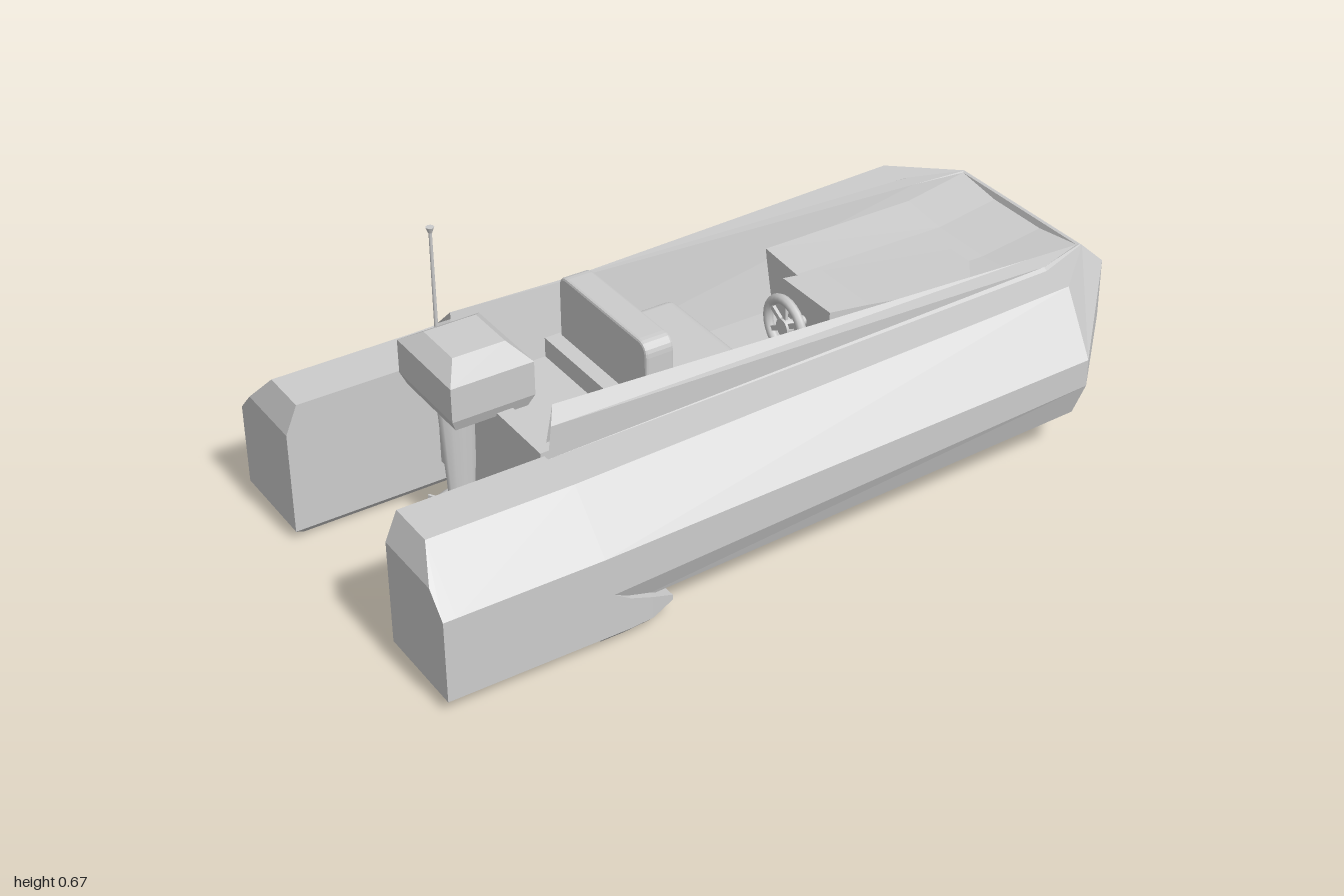
import * as THREE from 'three';
import { RoundedBoxGeometry } from 'three/addons/geometries/RoundedBoxGeometry.js';

const flat = new THREE.MeshStandardMaterial({ color: 0xcccccc, flatShading: true, side: THREE.DoubleSide });
const smooth = new THREE.MeshStandardMaterial({ color: 0xcccccc });

// Skin between equally long rows of [x, y, z] points
function loft(rows, closed = false, caps = false) {
  const pos = [], n = rows[0].length;
  const tri = (a, b, c) => pos.push(...a, ...b, ...c);
  for (let i = 0; i < rows.length - 1; i++) {
    for (let j = 0; j < (closed ? n : n - 1); j++) {
      const k = (j + 1) % n;
      tri(rows[i][j], rows[i + 1][j], rows[i + 1][k]);
      tri(rows[i][j], rows[i + 1][k], rows[i][k]);
    }
  }
  if (caps) {
    const last = rows[rows.length - 1];
    for (let j = 1; j < n - 1; j++) {
      tri(rows[0][0], rows[0][j], rows[0][j + 1]);
      tri(last[0], last[j + 1], last[j]);
    }
  }
  const g = new THREE.BufferGeometry();
  g.setAttribute('position', new THREE.Float32BufferAttribute(pos, 3));
  g.computeVertexNormals();
  return g;
}

const mirror = row => row.map(([x, y, z]) => [x, y, -z]);

export function createModel() {
  const group = new THREE.Group();
  const boat = new THREE.Group();
  boat.name = 'boat';
  // The boat lies at a slight yaw
  boat.rotation.y = -0.0826;
  boat.position.z = 0.008;
  group.add(boat);

  const add = (name, geo, x = 0, y = 0, z = 0, mat = flat) => {
    const m = new THREE.Mesh(geo, mat);
    m.name = name;
    m.position.set(x, y, z);
    boat.add(m);
    return m;
  };
  const box = (name, x0, x1, y0, y1, z0, z1) =>
    add(name, new THREE.BoxGeometry(x1 - x0, y1 - y0, z1 - z0), (x0 + x1) / 2, (y0 + y1) / 2, (z0 + z1) / 2);

  // Hull: each row runs from the keel, round the chamfered side, over the coaming and down to the floor
  const stern = [
    [-0.58, 0.07, 0], [-0.58, 0.07, 0.45], [-0.58, 0.135, 0.477], [-0.58, 0.235, 0.477], [-0.58, 0.36, 0.36],
    [-0.58, 0.36, 0.25], [-0.57, 0.44, 0.25], [-0.55, 0.475, 0.224], [-0.57, 0.22, 0.18], [-0.57, 0.22, 0],
  ];
  const shoulder = [
    [0.72, 0.117, 0], [0.72, 0.117, 0.45], [0.733, 0.2, 0.477], [0.733, 0.27, 0.477], [0.762, 0.4, 0.358],
    [0.765, 0.4, 0.275], [0.765, 0.406, 0.265], [0.75, 0.41, 0.222], [0.72, 0.22, 0.18], [0.72, 0.22, 0],
  ];
  const bow = [
    [0.93, 0.14, 0], [0.93, 0.14, 0.21], [0.985, 0.18, 0.226], [0.985, 0.335, 0.226], [0.915, 0.4, 0.226],
    [0.912, 0.4, 0.224], [0.91, 0.402, 0.222], [0.905, 0.4, 0.218], [0.86, 0.22, 0.15], [0.86, 0.22, 0],
  ];
  add('hull', loft([stern, shoulder, bow, mirror(bow), mirror(shoulder), mirror(stern)]));
  box('transom', -0.59, -0.55, 0.08, 0.37, -0.235, 0.235);
  box('rearDeck', -0.56, -0.32, 0.22, 0.3, -0.19, 0.19);

  // Rear pontoons with deep feet reaching forward under the hull
  const pontoon = (x, lowY, topY, topZ) => [
    [x, lowY, 0.44], [x, Math.max(lowY, 0.03), 0.477], [x, 0.235, 0.477],
    [x, topY, topZ], [x, topY, 0.235], [x, 0.03, 0.235], [x, lowY, 0.265],
  ];
  const foot = (x, y0, y1, y2, z0, z1) => [
    [x, y0, z1 - 0.03], [x, y1, z1], [x, y2, z1], [x, y2, z0], [x, y1, z0], [x, y0, z0 + 0.03],
  ];
  const pontoonRows = [pontoon(-0.964, 0.03, 0.29, 0.425), pontoon(-0.934, 0, 0.36, 0.36), pontoon(-0.58, 0, 0.36, 0.36)];
  const footRows = [
    foot(-0.58, 0, 0.03, 0.15, 0.235, 0.477), foot(-0.52, 0, 0.03, 0.11, 0.235, 0.477),
    foot(-0.46, 0, 0.03, 0.085, 0.245, 0.472), foot(-0.4, 0.035, 0.042, 0.055, 0.3, 0.455),
  ];
  for (const [side, flip] of [['left', r => r], ['right', mirror]]) {
    add(side + 'Pontoon', loft(pontoonRows.map(flip), true, true));
    add(side + 'Foot', loft(footRows.map(flip), true, true));
  }

  // Dished foredeck with its rear bulkhead
  const deckRow = (x, y, dip, w) => [-1, -0.4, 0.4, 1].map(t => [x, y - (Math.abs(t) < 1 ? dip : 0), t * w]);
  add('foredeck', loft([
    deckRow(0.3, 0.22, 0, 0.2), deckRow(0.3, 0.375, 0.01, 0.212), deckRow(0.73, 0.375, 0.015, 0.212), deckRow(0.905, 0.4, 0.015, 0.218),
  ]));

  // Wedge-shaped helm console
  const consoleRow = (x, y) => [[x, 0.22, 0.015], [x, y, 0.015], [x, y, 0.2], [x, 0.22, 0.2]];
  add('console', loft([consoleRow(0.19, 0.44), consoleRow(0.3, 0.425), consoleRow(0.72, 0.355)], true, true));

  // Steering wheel with hub, spokes and column
  const wheel = new THREE.Group();
  wheel.name = 'steeringWheel';
  wheel.position.set(0.138, 0.37, 0.1);
  wheel.rotation.set(0, Math.PI / 2, 0);
  const part = (geo, rx = 0, rz = 0, z = 0) => {
    const m = new THREE.Mesh(geo, smooth);
    m.rotation.set(rx, 0, rz);
    m.position.z = z;
    wheel.add(m);
  };
  part(new THREE.TorusGeometry(0.068, 0.012, 8, 28));
  part(new THREE.CylinderGeometry(0.022, 0.022, 0.02, 16), Math.PI / 2);
  part(new THREE.CylinderGeometry(0.012, 0.012, 0.08, 12), Math.PI / 2, 0, 0.04);
  for (let i = 0; i < 3; i++) part(new THREE.BoxGeometry(0.012, 0.13, 0.008), 0, i * Math.PI / 3);
  boat.add(wheel);

  // Bench seat
  box('benchBase', -0.33, -0.01, 0.22, 0.3, -0.19, 0.19);
  add('seatCushion', new RoundedBoxGeometry(0.25, 0.07, 0.37, 3, 0.025), -0.11, 0.315, 0, smooth);
  box('benchLedge', -0.33, -0.28, 0.3, 0.35, -0.19, 0.19);
  const w = 0.185, h = 0.23, r = 0.035;
  const back = new THREE.Shape();
  back.moveTo(-w, 0).lineTo(w, 0).lineTo(w, h - r).quadraticCurveTo(w, h, w - r, h)
    .lineTo(r - w, h).quadraticCurveTo(-w, h, -w, h - r);
  const backGeo = new THREE.ExtrudeGeometry(back, {
    depth: 0.06, bevelSize: 0.006, bevelThickness: 0.006, bevelOffset: -0.006, bevelSegments: 2, curveSegments: 6,
  }).rotateY(Math.PI / 2);
  add('backrest', backGeo, -0.285, 0.28, 0, smooth);

  // Outboard motor: chamfered cowl, leg, gearcase and propeller
  const cowlRow = (y, a, b) => [[-a, y, -b], [-a, y, b], [a, y, b], [a, y, -b]];
  add('motorCowl', loft([cowlRow(0.36, 0.09, 0.11), cowlRow(0.39, 0.103, 0.122), cowlRow(0.475, 0.103, 0.122), cowlRow(0.512, 0.065, 0.065)], true, true), -0.6, 0, -0.065);
  add('motorLeg', new THREE.CylinderGeometry(0.04, 0.025, 0.3, 12).scale(1.3, 1, 0.6), -0.625, 0.23, -0.07, smooth);
  const casing = [[0, -0.08], [0.02, -0.08], [0.034, -0.03], [0.034, 0.03], [0.022, 0.07], [0, 0.085]];
  add('gearcase', new THREE.LatheGeometry(casing.map(p => new THREE.Vector2(...p)), 16).rotateZ(-Math.PI / 2), -0.625, 0.085, -0.07, smooth);
  for (let i = 0; i < 3; i++) {
    const blade = new THREE.BoxGeometry(0.006, 0.034, 0.02).translate(0, 0.022, 0).rotateY(0.5).rotateX(i * Math.PI * 2 / 3);
    add('propellerBlade', blade, -0.7, 0.085, -0.07);
  }

  // Whip antenna
  add('antenna', new THREE.CylinderGeometry(0.004, 0.005, 0.31, 8), -0.56, 0.51, -0.277, smooth);
  add('antennaTip', new THREE.CylinderGeometry(0.01, 0.005, 0.014, 10), -0.56, 0.665, -0.277, smooth);

  return group;
}
